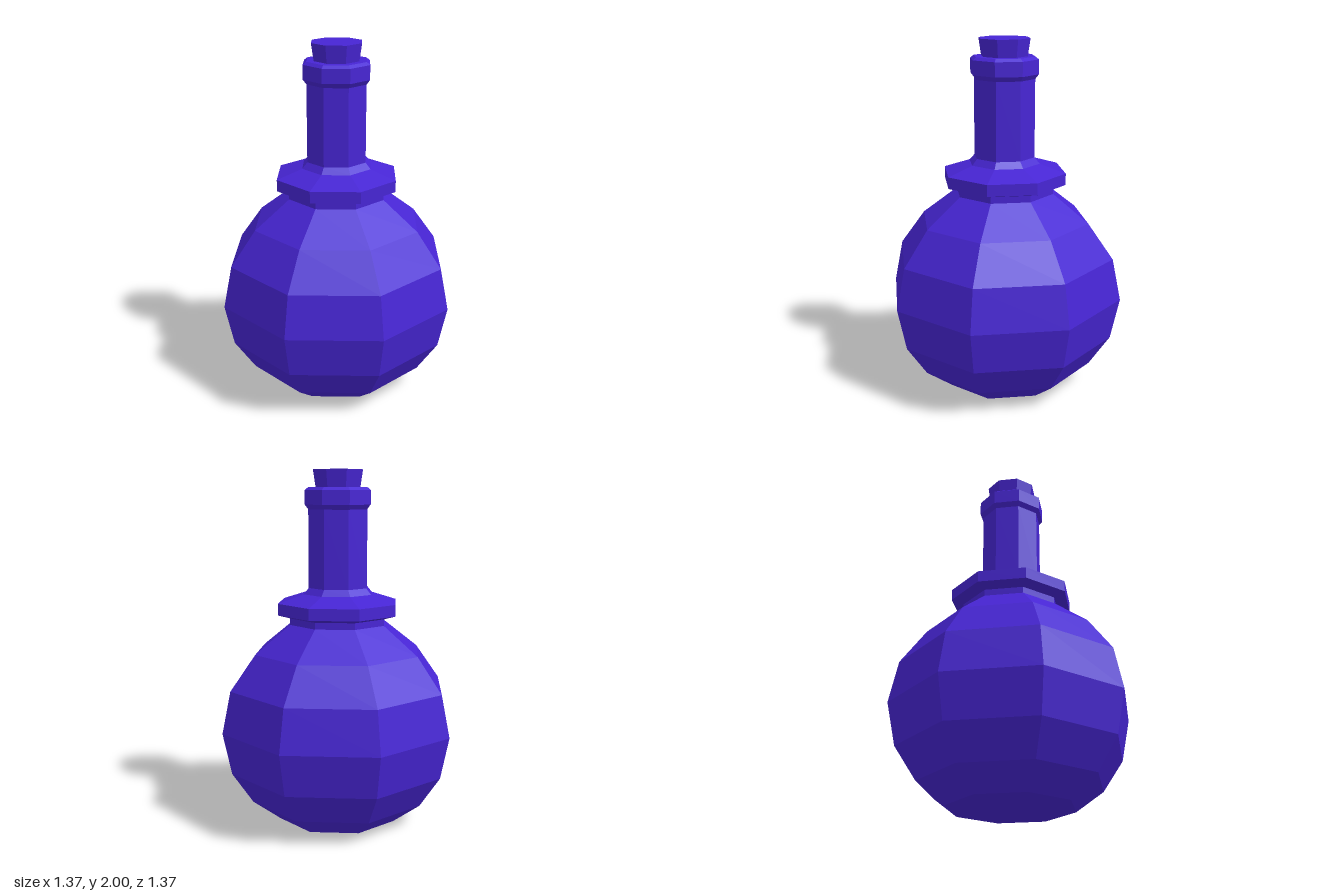
import * as THREE from 'three';

export function createModel() {
  const group = new THREE.Group();
  group.name = 'flask';
  const violet = new THREE.MeshStandardMaterial({ color: 0x4725d4, flatShading: true });
  violet.name = 'violet';

  // Eight-sided turned part from [radius, height] pairs, bottom to top
  const turned = (name, profile) => {
    const points = profile.map(([r, y]) => new THREE.Vector2(r, y));
    const geometry = new THREE.LatheGeometry(points, 8).toNonIndexed();
    geometry.computeVertexNormals();
    const mesh = new THREE.Mesh(geometry, violet);
    mesh.name = name;
    group.add(mesh);
  };

  // Round belly with a flat base
  turned('body', [
    [0, 0], [0.355, 0], [0.515, 0.12], [0.635, 0.3], [0.685, 0.54],
    [0.635, 0.78], [0.49, 0.98], [0.285, 1.14],
  ]);

  // Recessed ring and wide flange, sloping up to the neck
  turned('collar', [
    [0.285, 1.14], [0.285, 1.177], [0.355, 1.197], [0.355, 1.262],
    [0.205, 1.31], [0.175, 1.345],
  ]);

  // Straight neck
  turned('neck', [[0.175, 1.345], [0.175, 1.782]]);

  // Bevelled lip around the mouth
  turned('lip', [
    [0.175, 1.782], [0.195, 1.808], [0.195, 1.888], [0.175, 1.903], [0.13, 1.903],
  ]);

  // Tapered stopper
  turned('stopper', [[0.132, 1.903], [0.147, 2], [0, 2]]);

  return group;
}
